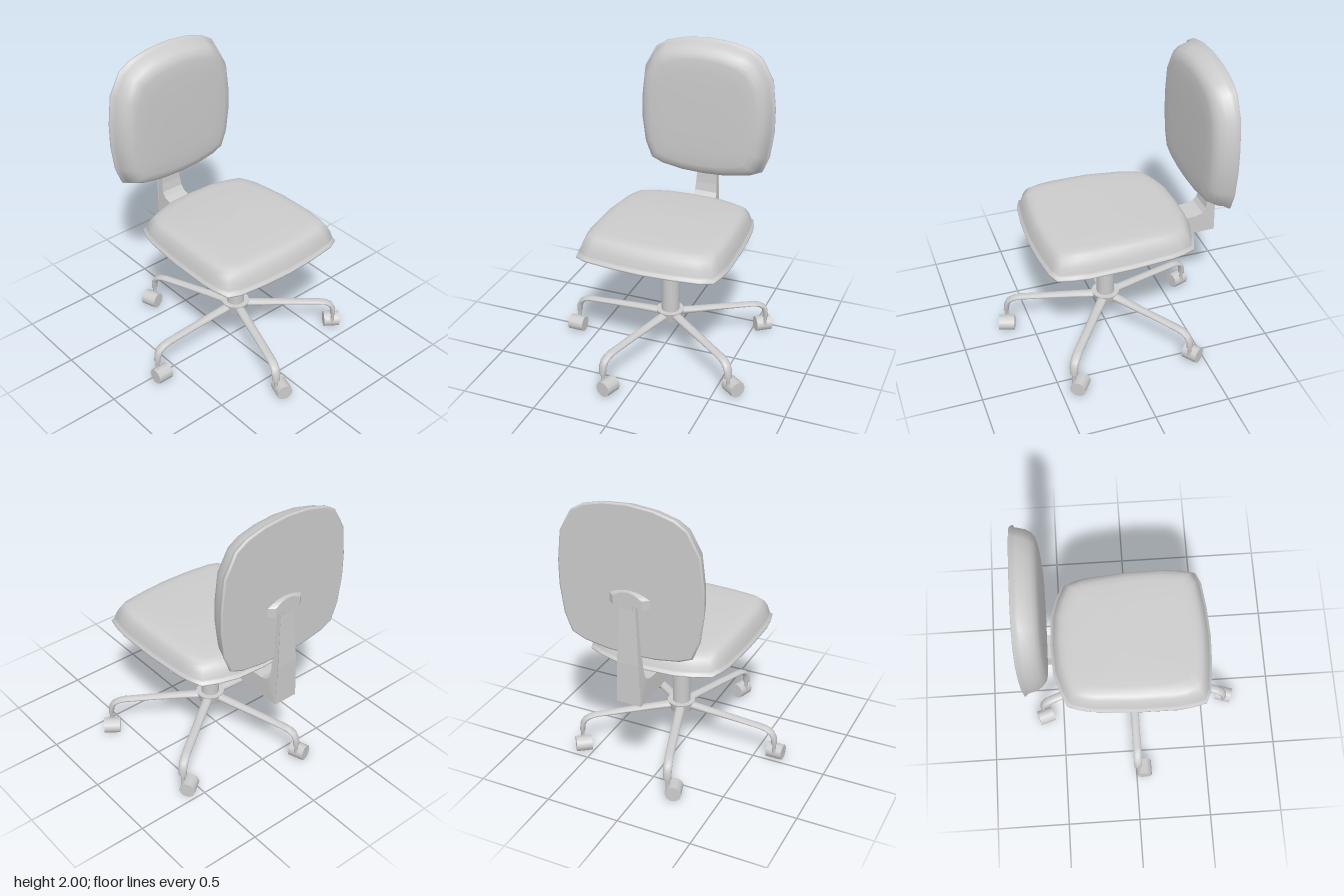
import * as THREE from 'three';

const material = new THREE.MeshStandardMaterial({ color: 0xcccccc, side: THREE.DoubleSide });

function part(name, geometry, x = 0, y = 0, z = 0) {
  const mesh = new THREE.Mesh(geometry, material);
  mesh.name = name;
  mesh.position.set(x, y, z);
  return mesh;
}

// Skin over a list of closed rings; repeating a ring keeps that edge sharp
function loft(rings) {
  const n = rings[0].length, index = [];
  for (let r = 0; r < rings.length - 1; r++) {
    for (let i = 0; i < n; i++) {
      const a = r * n + i, b = r * n + (i + 1) % n;
      index.push(a, b, b + n, a, b + n, a + n);
    }
  }
  const geometry = new THREE.BufferGeometry();
  geometry.setAttribute('position', new THREE.Float32BufferAttribute(rings.flat(2), 3));
  geometry.setIndex(index);
  geometry.computeVertexNormals();
  return geometry;
}

// Padded cushion: mirrored half outline, scaled along a [scale, height] profile
function cushion(half, profile, heightScale = () => 1) {
  const outline = [...half, ...half.slice(1, -1).reverse().map(([x, y]) => [-x, y])];
  return loft(profile.map(([s, h]) =>
    outline.map(([x, y]) => [x * s, y * s, h * heightScale(y * s)])));
}

// Side silhouette of [z, y] points, extruded to a width across x
function sideExtrude(points, width) {
  const shape = new THREE.Shape(points.map(p => new THREE.Vector2(...p)));
  return new THREE.ExtrudeGeometry(shape, { depth: width, bevelEnabled: false })
    .translate(0, 0, -width / 2).rotateY(-Math.PI / 2);
}

// Move x by a factor that depends on the vertex
function taperX(geometry, factor) {
  const p = geometry.attributes.position;
  for (let i = 0; i < p.count; i++) p.setX(i, p.getX(i) * factor(p.getY(i), p.getZ(i)));
  geometry.computeVertexNormals();
  return geometry;
}

// Oval tube in the xy plane; stations are [x, y, in-plane radius, sideways radius]
function ovalTube(stations, sides = 10) {
  return loft(stations.map(([x, y, a, b], k) => {
    const p = stations[Math.max(k - 1, 0)], q = stations[Math.min(k + 1, stations.length - 1)];
    const d = new THREE.Vector2(q[0] - p[0], q[1] - p[1]).normalize();
    return Array.from({ length: sides }, (_, i) => {
      const t = i / sides * Math.PI * 2, u = Math.cos(t) * a;
      return [x - d.y * u, y + d.x * u, Math.sin(t) * b];
    });
  }));
}

export function createModel() {
  const model = new THREE.Group();
  model.name = 'officeChair';
  const chair = new THREE.Group();
  chair.name = 'chair';
  chair.position.x = 0.04;
  model.add(chair);

  // Seat, lower towards the back
  const seatHalf = [[0, -0.54], [0.2, -0.53], [0.385, -0.508], [0.462, -0.475], [0.485, -0.38], [0.497, -0.28],
    [0.495, 0], [0.473, 0.28], [0.455, 0.36], [0.425, 0.44], [0.32, 0.487], [0.2, 0.522], [0, 0.533]];
  const seatProfile = [[0, 0], [0.98, 0], [0.98, 0], [1, 0.004], [1, 0.014], [0.975, 0.024], [0.965, 0.04],
    [0.945, 0.08], [0.91, 0.12], [0.87, 0.143], [0.81, 0.155], [0.73, 0.16], [0.5, 0.162], [0.25, 0.162], [0, 0.162]];
  const seat = cushion(seatHalf, seatProfile,
    y => 1 - 0.2 * THREE.MathUtils.clamp((y - 0.05) / 0.42, 0, 1));
  chair.add(part('seat', seat.rotateX(-Math.PI / 2), 0, 0.83, 0));

  // Backrest
  const backHalf = [[0, -0.485], [0.165, -0.478], [0.32, -0.452], [0.405, -0.415], [0.453, -0.295], [0.478, -0.11],
    [0.478, 0.05], [0.455, 0.25], [0.375, 0.395], [0.295, 0.445], [0.165, 0.48], [0, 0.494]];
  const backProfile = [[0, 0], [0.98, 0], [0.98, 0], [1, 0.005], [1, 0.016], [0.975, 0.024], [0.965, 0.045],
    [0.945, 0.085], [0.905, 0.12], [0.85, 0.144], [0.77, 0.155], [0.6, 0.16], [0.3, 0.162], [0, 0.162]];
  chair.add(part('backrest', cushion(backHalf, backProfile), 0, 1.505, -0.69));

  // Beam under the seat
  chair.add(part('seatBeam', sideExtrude([[0.22, 0.83], [0.155, 0.7], [-0.52, 0.7], [-0.52, 0.83]], 0.165)));

  // Angled upright, narrowing as it rises
  const upright = sideExtrude([[-0.52, 0.7], [-0.52, 0.828], [-0.6, 0.832], [-0.645, 0.848], [-0.668, 0.88],
    [-0.678, 0.94], [-0.685, 1.05], [-0.688, 1.42], [-0.714, 1.42], [-0.735, 0.98], [-0.735, 0.7]], 0.165);
  chair.add(part('backUpright', taperX(upright, y => 1 - 0.42 * THREE.MathUtils.clamp((y - 0.85) / 0.5, 0, 1))));

  // Arched mounting head behind the backrest
  const arch = new THREE.Shape();
  arch.moveTo(-0.045, 1.345);
  arch.lineTo(0.045, 1.345);
  arch.lineTo(0.06, 1.375);
  arch.lineTo(0.135, 1.36);
  arch.lineTo(0.135, 1.42);
  arch.quadraticCurveTo(0, 1.495, -0.135, 1.42);
  arch.lineTo(-0.135, 1.36);
  arch.lineTo(-0.06, 1.375);
  const head = new THREE.ExtrudeGeometry(arch, { depth: 0.032, bevelEnabled: false, curveSegments: 8 })
    .translate(0, 0, -0.72);
  chair.add(part('backMount', taperX(head, (y, z) => z < -0.7 ? 0.7 : 1)));

  // Pedestal: gas column and hub
  const base = new THREE.Group();
  base.name = 'base';
  base.position.z = 0.01;
  chair.add(base);
  base.add(part('upperColumn', new THREE.CylinderGeometry(0.042, 0.042, 0.14, 20), 0, 0.65, 0));
  base.add(part('lowerColumn', new THREE.CylinderGeometry(0.06, 0.06, 0.34, 20), 0, 0.435, 0));
  base.add(part('hub', new THREE.CylinderGeometry(0.094, 0.075, 0.07, 20), 0, 0.267, 0));

  // Five legs, each with a caster set to one side of its tip
  const legGeometry = ovalTube([[0.04, 0.275, 0.024, 0.034], [0.2, 0.268, 0.02, 0.032], [0.4, 0.258, 0.017, 0.03],
    [0.585, 0.247, 0.015, 0.03], [0.63, 0.238, 0.016, 0.03], [0.663, 0.217, 0.018, 0.03],
    [0.68, 0.185, 0.018, 0.029], [0.685, 0.135, 0.018, 0.026], [0.685, 0.12, 0.012, 0.013],
    [0.685, 0.06, 0.012, 0.013]]);
  const wheelGeometry = new THREE.CylinderGeometry(0.054, 0.054, 0.107, 10).rotateZ(Math.PI / 2);
  for (let i = 0; i < 5; i++) {
    const leg = new THREE.Group();
    leg.name = 'leg' + (i + 1);
    leg.rotation.y = -(Math.PI + i * Math.PI * 2 / 5);
    leg.add(part('legTube', legGeometry));
    leg.add(part('casterWheel', wheelGeometry, 0.682, 0.054, -0.042));
    base.add(leg);
  }
  return model;
}
